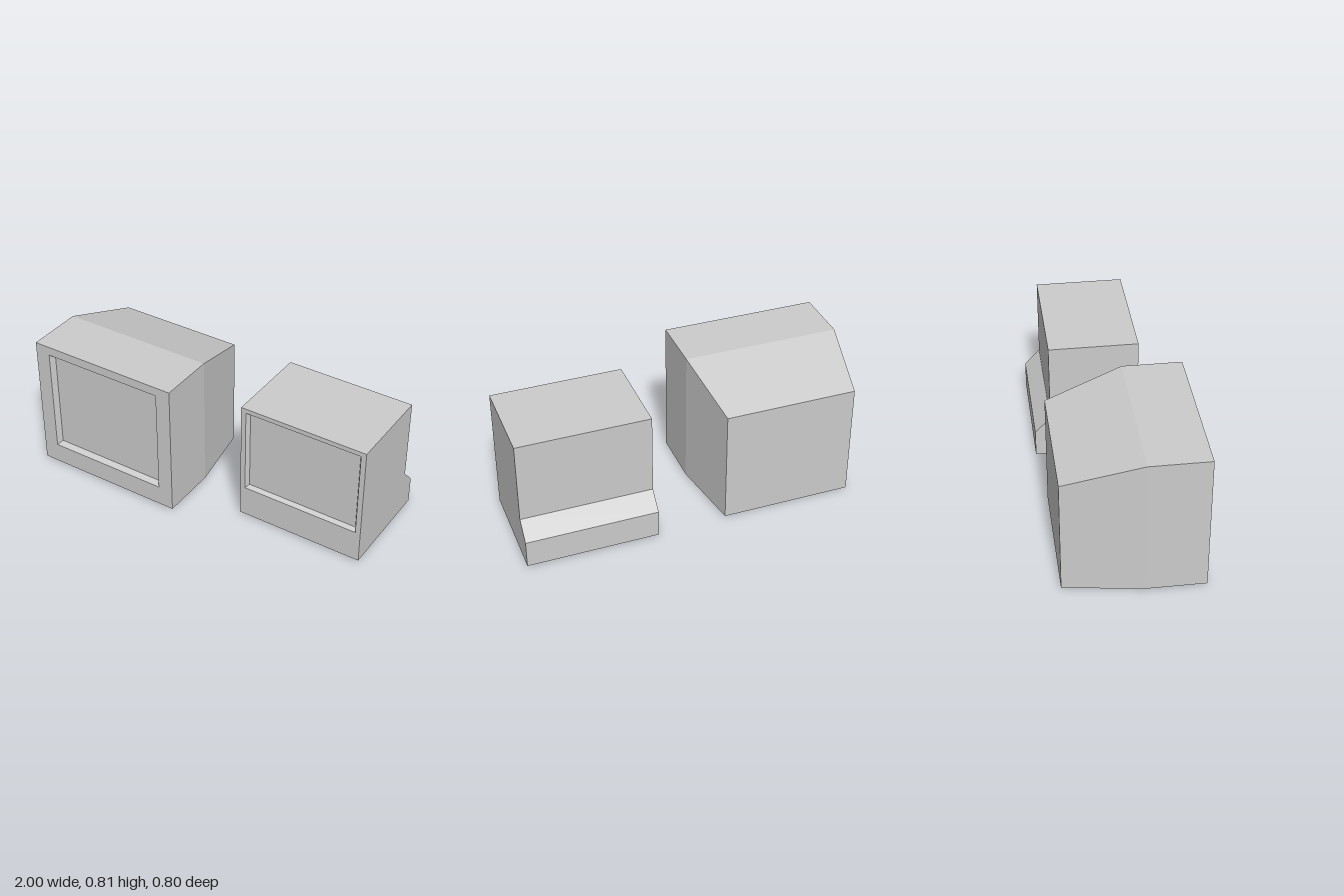
import * as THREE from 'three';

const material = new THREE.MeshStandardMaterial({ color: 0xcccccc, flatShading: true });

// Rectangular cross-section [x0, x1, y0, y1, z] as corners, counter-clockwise from the front
const corners = ([x0, x1, y0, y1, z]) =>
  [[x0, y0], [x1, y0], [x1, y1], [x0, y1]].map(([x, y]) => new THREE.Vector3(x, y, z));

// Skins a run of rectangular sections, with optional caps on the first and last
function loft(name, sections, capFront, capBack) {
  const rings = sections.map(corners);
  const points = [];
  const tri = (a, b, c) => {
    if (new THREE.Triangle(a, b, c).getArea() > 1e-6) points.push(a, b, c);
  };
  const quad = (a, b, c, d) => { tri(a, b, c); tri(a, c, d); };
  for (let s = 0; s < rings.length - 1; s++) {
    const a = rings[s], b = rings[s + 1];
    for (let i = 0; i < 4; i++) {
      const j = (i + 1) % 4;
      quad(a[i], b[i], b[j], a[j]);
    }
  }
  if (capFront) quad(...rings[0]);
  if (capBack) quad(...[...rings.at(-1)].reverse());
  const geometry = new THREE.BufferGeometry().setFromPoints(points);
  geometry.computeVertexNormals();
  const mesh = new THREE.Mesh(geometry, material);
  mesh.name = name;
  return mesh;
}

// A set is a casing (front to back) with a bevelled, recessed screen in its front
function television(name, opening, bevel, depth, casing) {
  const [x0, x1, y0, y1, z] = opening;
  const glass = [x0 + bevel, x1 - bevel, y0 + bevel, y1 - bevel, z - depth];
  const set = new THREE.Group();
  set.name = name;
  set.add(
    loft('screen', [glass, opening], true, false),
    loft('casing', [opening, ...casing], false, true),
  );
  return set;
}

export function createModel() {
  const model = new THREE.Group();
  model.name = 'televisions';
  model.add(
    // Large set: straight front half, tapered back half
    television('largeTelevision', [-0.91, -0.18, 0.13, 0.76, 0.4], 0.02, 0.03, [
      [-1, -0.09, 0.01, 0.813, 0.4],
      [-1, -0.09, 0.01, 0.813, 0.065],
      [-0.925, -0.165, 0, 0.675, -0.367],
    ]),
    // Small set: plain box with a sloped ledge low on the back
    television('smallTelevision', [0.275, 0.97, 0.197, 0.709, 0.21], 0.014, 0.025, [
      [0.245, 1, 0.01, 0.736, 0.21],
      [0.245, 1, 0.01, 0.736, -0.307],
      [0.245, 1, 0.01, 0.264, -0.307],
      [0.245, 1, 0.01, 0.17, -0.398],
    ]),
  );
  return model;
}
